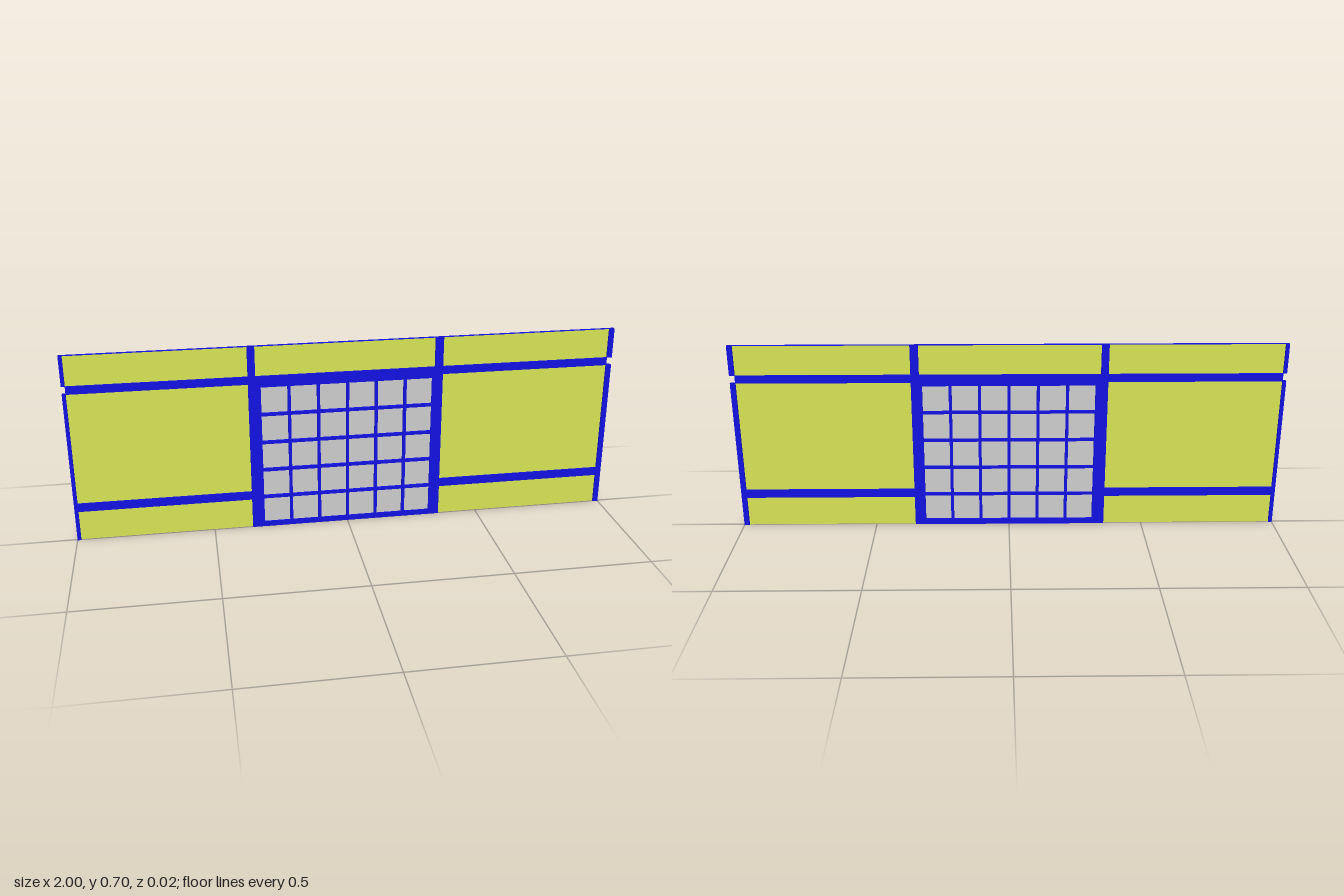
import * as THREE from 'three';

const material = (color) => new THREE.MeshStandardMaterial({ color, side: THREE.DoubleSide });

export function createModel() {
  const model = new THREE.Group();
  const blue = material(0x1111e0);
  const yellow = material(0xd6e254);
  const grey = material(0xcccccc);

  const BACK = -0.009, FRONT = 0.006;

  // Hollow bar between two corners; the faces across the open axes are left out
  function bar(name, x0, x1, y0, y1, openAxes, z0 = BACK, z1 = FRONT, parent = model) {
    const geometry = new THREE.BoxGeometry(x1 - x0, y1 - y0, z1 - z0);
    const all = Array.from(geometry.index.array);
    geometry.setIndex(all.filter((_, i) => !openAxes.includes('xyz'[Math.floor(i / 12)])));
    geometry.clearGroups();
    const mesh = new THREE.Mesh(geometry, blue);
    mesh.name = name;
    mesh.position.set((x0 + x1) / 2, (y0 + y1) / 2, (z0 + z1) / 2);
    parent.add(mesh);
  }

  // Thin flat pane
  function pane(name, x0, x1, y0, y1, mat, z = -0.0015, parent = model) {
    const mesh = new THREE.Mesh(new THREE.PlaneGeometry(x1 - x0, y1 - y0), mat);
    mesh.name = name;
    mesh.position.set((x0 + x1) / 2, (y0 + y1) / 2, z);
    parent.add(mesh);
  }

  // Heights of the wall and its rails
  const TOP = 0.705, UPPER = [0.565, 0.594], LOWER = [0.114, 0.145];
  const posts = [[-1, -0.987], [-0.358, -0.331], [0.323, 0.353], [0.981, 1]];

  // Posts, split by the upper rail; the inner ones are bridged front and back
  posts.forEach(([x0, x1], i) => {
    bar('post', x0, x1, 0, UPPER[0], 'y');
    bar('upperPost', x0, x1, UPPER[1], TOP, 'y');
    if (i === 1 || i === 2) bar('postJunction', x0, x1, ...UPPER, 'xy');
  });

  // Bays between the posts
  for (let i = 0; i < 3; i++) {
    const x0 = posts[i][1], x1 = posts[i + 1][0];
    bar('upperRail', x0, x1, ...UPPER, 'x');
    pane('upperPanel', x0, x1, UPPER[1], TOP, yellow);
    const cap = new THREE.Mesh(new THREE.PlaneGeometry(x1 - x0, FRONT - BACK), blue);
    cap.name = 'topCap';
    cap.rotation.x = -Math.PI / 2;
    cap.position.set((x0 + x1) / 2, TOP, (FRONT + BACK) / 2);
    model.add(cap);
    if (i === 1) continue;
    bar('lowerRail', x0, x1, ...LOWER, 'x');
    pane('middlePanel', x0, x1, LOWER[1], UPPER[0], yellow);
    pane('lowerPanel', x0, x1, 0, LOWER[0], yellow);
  }

  // Central window frame
  const win = new THREE.Group();
  win.name = 'window';
  model.add(win);
  const left = -0.313, right = 0.313, bottom = 0.02, top = 0.552;
  const rect = (Type, x0, x1, y0, y1) => new Type([
    new THREE.Vector2(x0, y0), new THREE.Vector2(x1, y0),
    new THREE.Vector2(x1, y1), new THREE.Vector2(x0, y1),
  ]);
  const outline = rect(THREE.Shape, posts[1][1], posts[2][0], 0, UPPER[0]);
  outline.holes.push(rect(THREE.Path, left, right, bottom, top));
  const frame = new THREE.Mesh(
    new THREE.ExtrudeGeometry(outline, { depth: FRONT - BACK, bevelEnabled: false }), blue);
  frame.name = 'windowFrame';
  frame.position.z = BACK;
  win.add(frame);

  // Window panes with glazing bars standing proud of the frame
  const columns = 6, rows = 5, w = 0.011, z0 = -0.006, z1 = 0.011;
  const dx = (right - left + w) / columns, dy = (top - bottom + w) / rows;
  for (let c = 0; c < columns; c++) {
    for (let r = 0; r < rows; r++) {
      const x = left + c * dx, y = bottom + r * dy;
      const xe = x + dx - w, ye = y + dy - w;
      pane('windowPane', x, xe, y, ye, grey, 0.001, win);
      const hasBarRight = c < columns - 1, hasBarAbove = r < rows - 1;
      if (hasBarRight) bar('verticalGlazingBar', xe, xe + w, y, ye, 'y', z0, z1, win);
      if (hasBarAbove) bar('horizontalGlazingBar', x, xe, ye, ye + w, 'x', z0, z1, win);
      if (hasBarRight && hasBarAbove) bar('glazingJunction', xe, xe + w, ye, ye + w, 'xy', z0, z1, win);
    }
  }
  return model;
}
